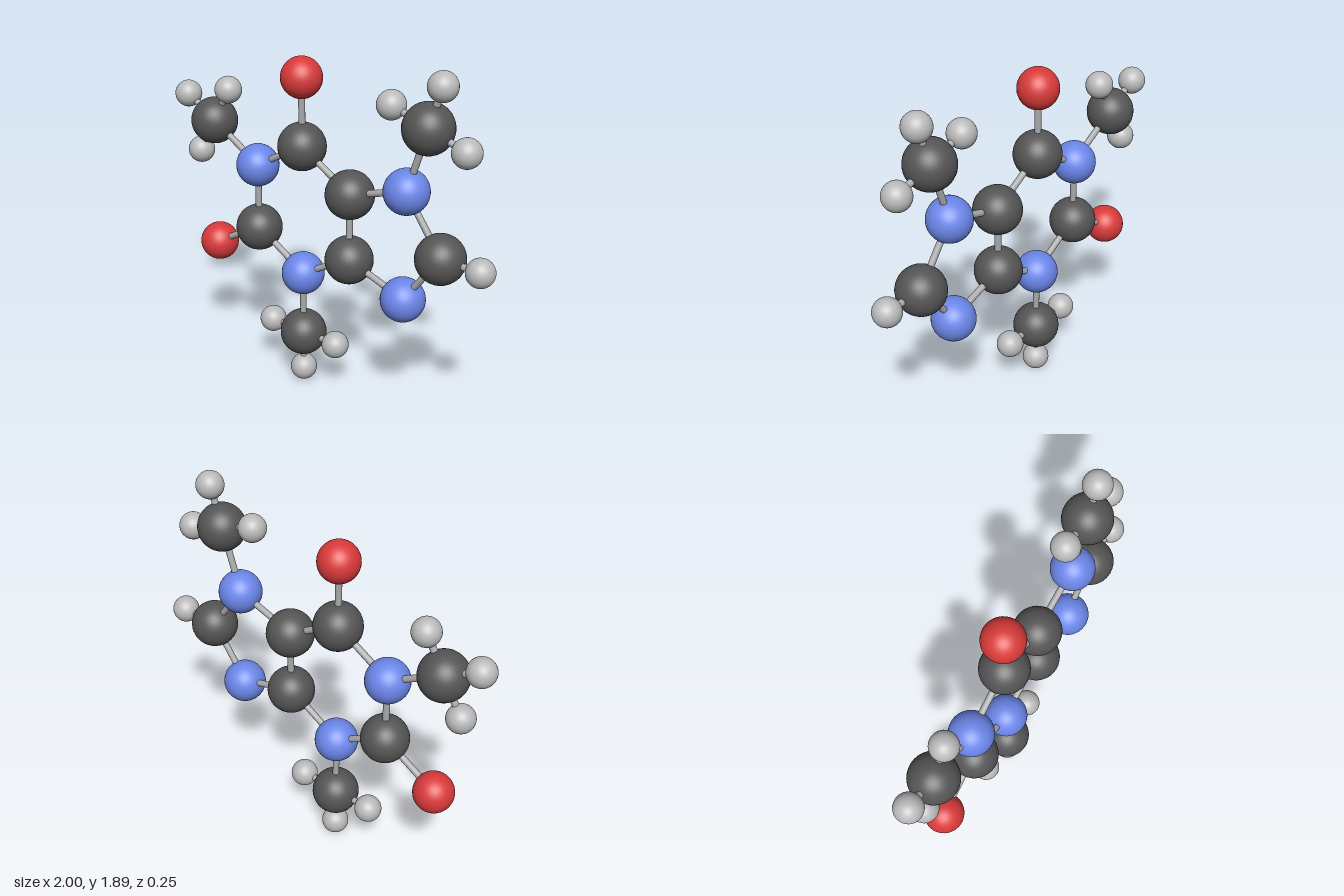
import * as THREE from 'three';

const mat = (color) => new THREE.MeshStandardMaterial({ color });

// Atom kinds: radius and colour
const KINDS = {
  carbon: { r: 0.123, m: mat(0x555555) },
  nitrogen: { r: 0.112, m: mat(0x6b86e8) },
  oxygen: { r: 0.104, m: mat(0xd93a3a) },
  hydrogen: { r: 0.071, m: mat(0xbbbbbb) },
};
const BOND_RADIUS = 0.017;
const H_BOND = 0.218;

// Flat skeleton: id -> [kind, x, y]
const ATOMS = {
  c2: ['carbon', -0.44, 0.817],
  c4: ['carbon', 0.17, 0.817],
  c5: ['carbon', 0.17, 1.17],
  c6: ['carbon', -0.135, 1.346],
  c8: ['carbon', 0.71, 0.994],
  n1: ['nitrogen', -0.44, 1.17],
  n3: ['nitrogen', -0.135, 0.642],
  n7: ['nitrogen', 0.505, 1.278],
  n9: ['nitrogen', 0.505, 0.71],
  o2: ['oxygen', -0.745, 0.642],
  o6: ['oxygen', -0.135, 1.7],
  m1: ['carbon', -0.745, 1.346],
  m3: ['carbon', -0.135, 0.29],
  m7: ['carbon', 0.612, 1.612],
  h8: ['hydrogen', 0.928, 0.994],
};

const BONDS = [
  'n1 c2', 'c2 n3', 'n3 c4', 'c4 c5', 'c5 c6', 'c6 n1', // six-sided ring
  'c5 n7', 'n7 c8', 'c8 n9', 'n9 c4', // five-sided ring
  'c2 o2', 'c6 o6', 'n1 m1', 'n3 m3', 'n7 m7', 'c8 h8',
];

export function createModel() {
  const model = new THREE.Group();
  model.name = 'molecule';
  const atoms = new THREE.Group();
  atoms.name = 'atoms';
  const bonds = new THREE.Group();
  bonds.name = 'bonds';
  model.add(atoms, bonds);

  const balls = {};
  for (const kind in KINDS) balls[kind] = new THREE.SphereGeometry(KINDS[kind].r, 32, 24);
  const bondMat = mat(0xaaaaaa);
  const up = new THREE.Vector3(0, 1, 0);

  function addAtom(kind, p) {
    const ball = new THREE.Mesh(balls[kind], KINDS[kind].m);
    ball.name = kind + 'Atom';
    ball.position.copy(p);
    atoms.add(ball);
  }

  function addBond(a, b) {
    const dir = b.clone().sub(a);
    const rod = new THREE.Mesh(
      new THREE.CylinderGeometry(BOND_RADIUS, BOND_RADIUS, dir.length(), 16), bondMat);
    rod.name = 'bond';
    rod.position.copy(a).lerp(b, 0.5);
    rod.quaternion.setFromUnitVectors(up, dir.normalize());
    bonds.add(rod);
  }

  // Ring atoms and their direct neighbours
  const pos = {};
  for (const id in ATOMS) {
    const [kind, x, y] = ATOMS[id];
    pos[id] = new THREE.Vector3(x, y, 0);
    addAtom(kind, pos[id]);
  }
  for (const pair of BONDS) {
    const [a, b] = pair.split(' ');
    addBond(pos[a], pos[b]);
  }

  // Three hydrogens around each methyl carbon, in the molecule's plane
  for (const [ring, methyl] of [['n1', 'm1'], ['n3', 'm3'], ['n7', 'm7']]) {
    const c = pos[methyl];
    const out = c.clone().sub(pos[ring]);
    const angle = Math.atan2(out.y, out.x);
    for (const turn of [-1, 0, 1]) {
      const t = angle + turn * Math.PI / 2;
      const h = new THREE.Vector3(c.x + H_BOND * Math.cos(t), c.y + H_BOND * Math.sin(t), 0);
      addAtom('hydrogen', h);
      addBond(c, h);
    }
  }
  return model;
}
